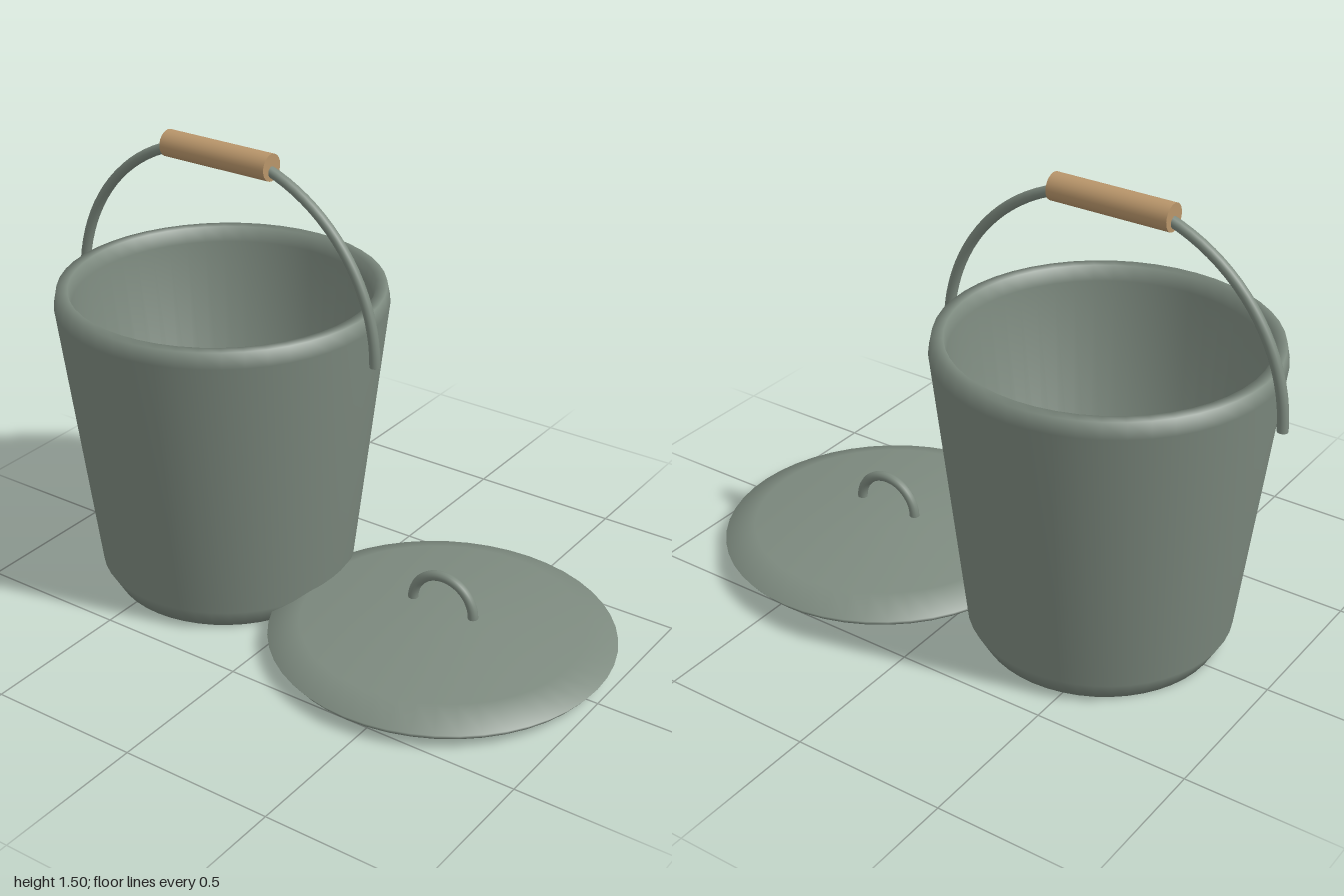
import * as THREE from 'three';

export function createModel() {
  const model = new THREE.Group();
  const enamel = new THREE.MeshStandardMaterial({ color: 0x7d8a7f, side: THREE.DoubleSide });
  enamel.name = 'grey green enamel';
  const wood = new THREE.MeshStandardMaterial({ color: 0xb8956a });
  wood.name = 'wood';

  const add = (parent, name, geometry, material, x = 0, y = 0) => {
    const mesh = new THREE.Mesh(geometry, material);
    mesh.name = name;
    mesh.position.set(x, y, 0);
    parent.add(mesh);
    return mesh;
  };
  const lathe = (profile) =>
    new THREE.LatheGeometry(profile.map(([r, y]) => new THREE.Vector2(r, y)), 48);

  // Half ring standing on its two ends, each closed with a small disc
  const arch = (parent, name, radius, tube, x, y) => {
    const group = new THREE.Group();
    group.name = name;
    group.position.set(x, y, 0);
    add(group, name + 'Rod', new THREE.TorusGeometry(radius, tube, 12, 48, Math.PI), enamel);
    for (const side of [-1, 1]) {
      const cap = add(group, name + 'End', new THREE.CircleGeometry(tube, 12), enamel, side * radius);
      cap.rotation.x = Math.PI / 2;
    }
    parent.add(group);
  };

  // Bucket: outer wall, rim, inner wall and floor in one profile
  const bucket = new THREE.Group();
  bucket.name = 'bucket';
  bucket.position.x = -0.4;
  model.add(bucket);
  add(bucket, 'bucketBody', lathe([
    [0, 0], [0.38, 0], [0.42, 0.07], [0.53, 0.98], [0.52, 1.03],
    [0.485, 1.03], [0.475, 0.98], [0.385, 0.08], [0, 0.06],
  ]), enamel);

  // Carrying handle with wooden grip
  arch(bucket, 'bail', 0.58, 0.017, 0, 0.895);
  const grip = add(bucket, 'grip', new THREE.CylinderGeometry(0.043, 0.043, 0.4, 24), wood, 0, 1.453);
  grip.rotation.z = Math.PI / 2;

  // Lid lying beside the bucket
  const lid = new THREE.Group();
  lid.name = 'lid';
  lid.position.x = 0.446;
  model.add(lid);
  add(lid, 'lidPlate', lathe([
    [0, 0.025], [0.53, 0.025], [0.55, 0.05], [0.45, 0.09], [0.12, 0.12], [0, 0.12],
  ]), enamel);
  arch(lid, 'lidHandle', 0.11, 0.0165, 0, 0.137);

  return model;
}
